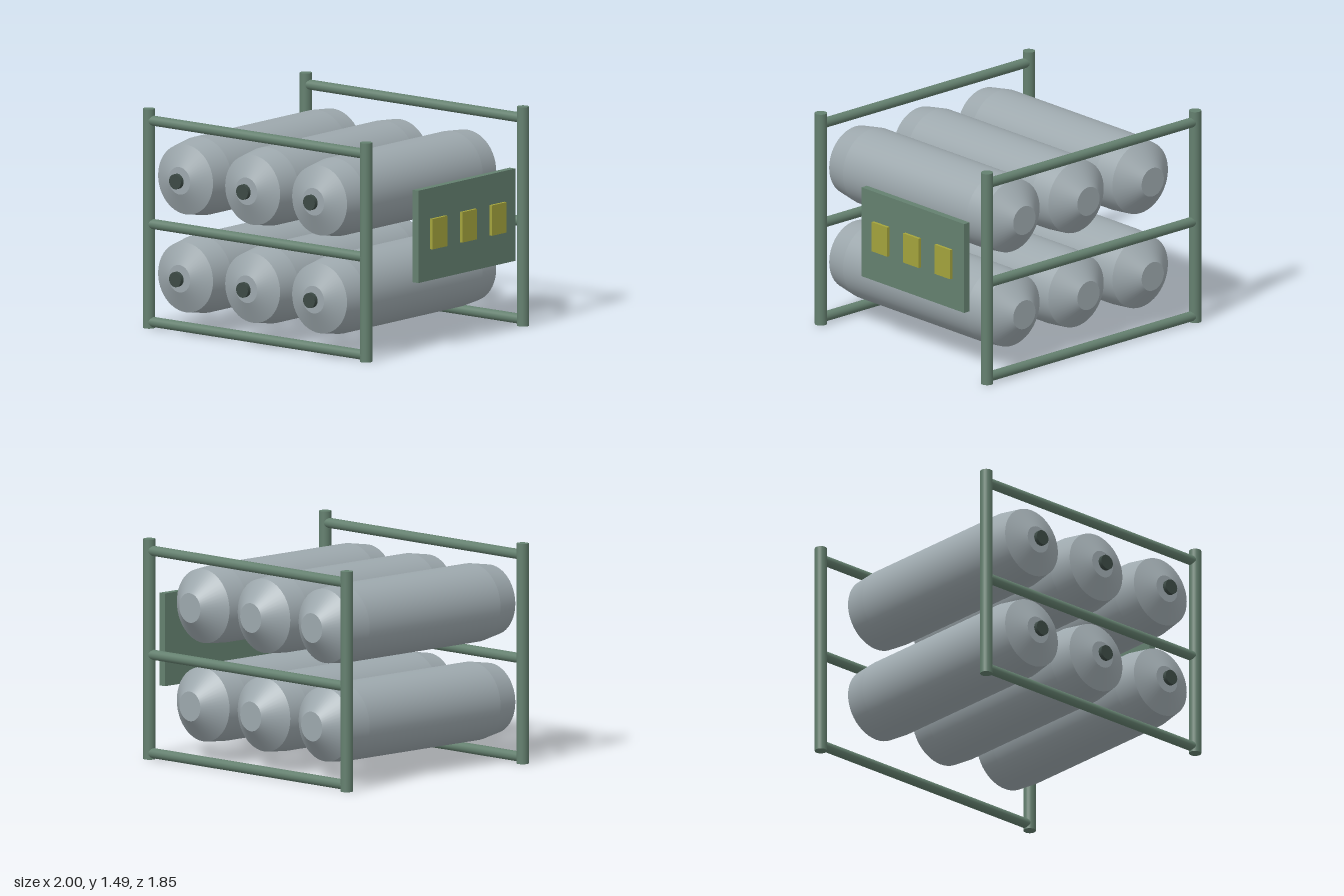
import * as THREE from 'three';

export function createModel() {
  const model = new THREE.Group();
  model.name = 'cylinderRack';

  const mat = (name, color) => {
    const m = new THREE.MeshStandardMaterial({ color });
    m.name = name;
    return m;
  };
  const frameGreen = mat('frameGreen', 0x64806f);
  const tankGrey = mat('tankGrey', 0x9da8ad);
  const valveDark = mat('valveDark', 0x3c4a45);
  const displayYellow = mat('displayYellow', 0xa3a33c);

  const add = (parent, name, geometry, material, x, y, z) => {
    const mesh = new THREE.Mesh(geometry, material);
    mesh.name = name;
    mesh.position.set(x, y, z);
    parent.add(mesh);
    return mesh;
  };

  // Front and back frames: two posts and three rails each
  const leftX = 0.916, rightX = -0.959, height = 1.486;
  const postGeo = new THREE.CylinderGeometry(0.041, 0.041, height, 24);
  const railGeo = new THREE.CylinderGeometry(0.034, 0.034, leftX - rightX, 24).rotateZ(Math.PI / 2);
  for (const [name, z] of [['frontFrame', 0.76], ['backFrame', -0.882]]) {
    const frame = new THREE.Group();
    frame.name = name;
    for (const x of [rightX, leftX]) add(frame, 'post', postGeo, frameGreen, x, height / 2, z);
    for (const y of [0.043, 0.707, 1.408]) {
      add(frame, 'rail', railGeo, frameGreen, (leftX + rightX) / 2, y, z);
    }
    model.add(frame);
  }

  // Tank profile as [radius, z]; repeated points keep an edge sharp
  const profile = [
    [0, -0.857], [0.1, -0.857], [0.1, -0.857],
    [0.25, -0.733], [0.25, -0.733], [0.264, -0.575], [0.264, -0.575],
    [0.264, 0.647], [0.264, 0.647], [0.237, 0.812], [0.237, 0.812],
    [0.093, 0.877], [0.093, 0.877], [0, 0.877],
  ].map(([r, z]) => new THREE.Vector2(r, z));
  const tankGeo = new THREE.LatheGeometry(profile, 48).rotateX(Math.PI / 2);
  const valveGeo = new THREE.CylinderGeometry(0.051, 0.051, 0.029, 24).rotateX(Math.PI / 2);

  // Two rows of three tanks, each with a valve cap in front
  for (const y of [0.393, 1.057]) {
    for (const x of [-0.6, -0.021, 0.557]) {
      add(model, 'tank', tankGeo, tankGrey, x, y, 0);
      add(model, 'valve', valveGeo, valveDark, x, y, 0.909);
    }
  }

  // Control panel on the left side with three displays
  add(model, 'controlPanel', new THREE.BoxGeometry(0.049, 0.626, 1.014), frameGreen, 0.9545, 0.783, -0.217);
  const displayGeo = new THREE.BoxGeometry(0.021, 0.206, 0.154);
  for (const z of [0.09, -0.221, -0.532]) {
    add(model, 'display', displayGeo, displayYellow, 0.9895, 0.785, z);
  }

  return model;
}
